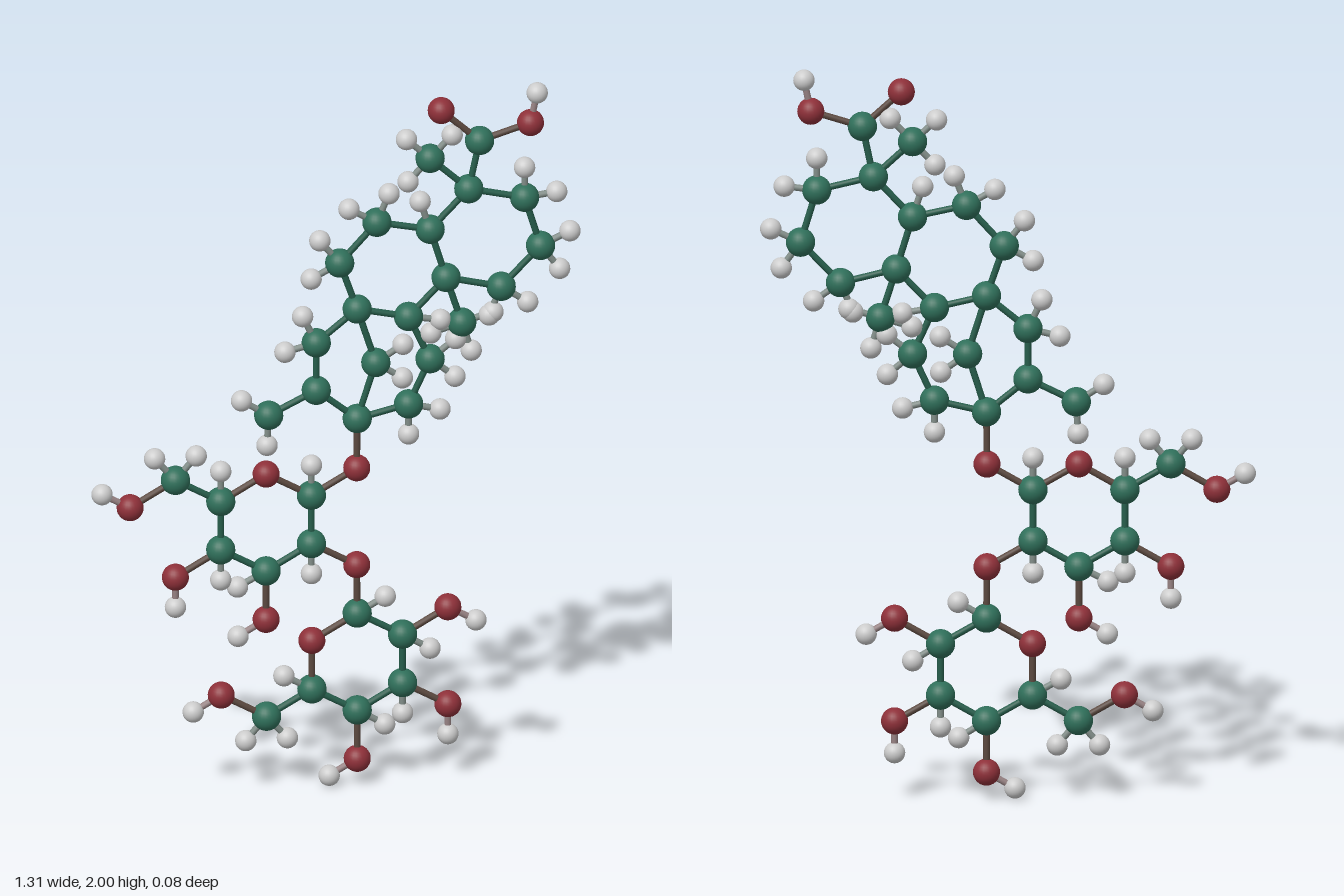
import * as THREE from 'three';

const KINDS = {
  C: { name: 'carbon', color: 0x2f6f5a, radius: 0.039 },
  O: { name: 'oxygen', color: 0x8e3039, radius: 0.036 },
  H: { name: 'hydrogen', color: 0xcccccc, radius: 0.0285 },
};
const BOND_RADIUS = 0.009;
const RING = 0.1407; // side of the sugar rings, also their bond length
const H_BOND = 0.087;

export function createModel() {
  const model = new THREE.Group();
  model.name = 'molecule';
  const atoms = new THREE.Group();
  atoms.name = 'atoms';
  const bonds = new THREE.Group();
  bonds.name = 'bonds';
  model.add(atoms, bonds);

  const spheres = {}, materials = {}, bondMaterials = {};
  for (const [k, { color, radius }] of Object.entries(KINDS)) {
    spheres[k] = new THREE.SphereGeometry(radius, 24, 16);
    materials[k] = new THREE.MeshStandardMaterial({ color });
  }
  const rod = new THREE.CylinderGeometry(BOND_RADIUS, BOND_RADIUS, 1, 12);

  // Bonds take a darkened blend of the colours of their two ends
  function bondMaterial(a, b) {
    const key = [a, b].sort().join('');
    bondMaterials[key] ??= new THREE.MeshStandardMaterial({
      color: new THREE.Color(KINDS[a].color).lerp(new THREE.Color(KINDS[b].color), 0.5).multiplyScalar(0.7),
    });
    return bondMaterials[key];
  }

  function atom(kind, x, y) {
    const mesh = new THREE.Mesh(spheres[kind], materials[kind]);
    mesh.name = KINDS[kind].name;
    mesh.position.set(x, y, 0);
    mesh.userData.kind = kind;
    atoms.add(mesh);
    return mesh;
  }

  function bond(a, b) {
    const d = b.position.clone().sub(a.position);
    const mesh = new THREE.Mesh(rod, bondMaterial(a.userData.kind, b.userData.kind));
    mesh.name = 'bond';
    mesh.position.copy(a.position).addScaledVector(d, 0.5);
    mesh.scale.y = d.length();
    mesh.rotation.z = Math.atan2(-d.x, d.y);
    bonds.add(mesh);
  }

  // New atom bonded to a parent, in a direction given in degrees
  function grow(parent, kind, degrees, length = RING) {
    const t = THREE.MathUtils.degToRad(degrees);
    const { x, y } = parent.position;
    const child = atom(kind, x + length * Math.cos(t), y + length * Math.sin(t));
    bond(parent, child);
    return child;
  }
  const hydrogens = (parent, ...angles) => angles.forEach((a) => grow(parent, 'H', a, H_BOND));

  // Six-sided sugar ring; the ring oxygen is first, then carbons counterclockwise
  function sugar(cx, cy, start, hAngles) {
    const ring = [];
    for (let i = 0; i < 6; i++) {
      const t = THREE.MathUtils.degToRad(start + 60 * i);
      ring.push(atom(i ? 'C' : 'O', cx + RING * Math.cos(t), cy + RING * Math.sin(t)));
      if (i) {
        bond(ring[i - 1], ring[i]);
        hydrogens(ring[i], hAngles[i - 1]);
      }
    }
    bond(ring[5], ring[0]);
    return ring;
  }
  const hydroxyl = (parent, angle, hAngle) => hydrogens(grow(parent, 'O', angle), hAngle);
  function hydroxymethyl(parent, angle, oAngle, oHAngle, hAngles) {
    const c = grow(parent, 'C', angle);
    hydrogens(c, ...hAngles);
    hydroxyl(c, oAngle, oHAngle);
  }

  // Upper sugar
  const upper = sugar(-0.189, 0.782, 90, [90, 270, 208, 270, 90]);
  hydroxymethyl(upper[1], 150, 210, 150, [130, 50]);
  hydroxyl(upper[2], 210, 270);
  hydroxyl(upper[3], 270, 210);
  const link = grow(upper[4], 'O', 330);
  const stem = grow(upper[5], 'O', 30);

  // Lower sugar, hung from the upper one
  const lower = sugar(0.056, 0.36, 150, [150, 328, 270, 328, 30]);
  hydroxymethyl(lower[1], 210, 150, 210, [230, 310]);
  hydroxyl(lower[2], 270, 210);
  hydroxyl(lower[3], 330, 270);
  hydroxyl(lower[4], 30, 330);
  bond(link, lower[5]);

  // Fused carbon rings: x, y, then the directions of the hydrogens
  const skeleton = {
    acid: [0.385, 1.849],
    crown: [0.356, 1.711],
    crownMethyl: [0.252, 1.807, 137, 47, 227],
    a1: [0.506, 1.675, 90, 7],
    a2: [0.549, 1.532, 25, 306],
    a3: [0.443, 1.421, 325, 248],
    ab: [0.295, 1.458],
    abMethyl: [0.337, 1.325, 16, 197, 287],
    ba: [0.252, 1.601, 108],
    b1: [0.109, 1.632, 150, 68],
    b2: [0.009, 1.521, 128, 208],
    bc: [0.056, 1.384],
    cb: [0.194, 1.352, 350],
    c1: [0.252, 1.225, 38, 320],
    c2: [0.194, 1.098, 346, 270],
    base: [0.056, 1.066],
    bridge: [0.106, 1.225, 33, 325],
    d1: [-0.054, 1.294, 115, 194],
    d2: [-0.054, 1.156],
    tail: [-0.182, 1.093, 147, 267],
  };
  const at = {};
  for (const [key, [x, y, ...h]] of Object.entries(skeleton)) {
    at[key] = atom('C', x, y);
    hydrogens(at[key], ...h);
  }
  // Chains of bonded carbons
  const chains = [
    'acid crown crownMethyl',
    'crown a1 a2 a3 ab ba crown',
    'ba b1 b2 bc cb ab abMethyl',
    'cb c1 c2 base bridge bc d1 d2 base',
    'd2 tail',
  ];
  for (const chain of chains) {
    const keys = chain.split(' ');
    for (let i = 1; i < keys.length; i++) bond(at[keys[i - 1]], at[keys[i]]);
  }
  bond(stem, at.base);

  // Acid group at the top
  grow(at.acid, 'O', 137.5, 0.14);
  hydrogens(grow(at.acid, 'O', 17, 0.143), 78);

  return model;
}
